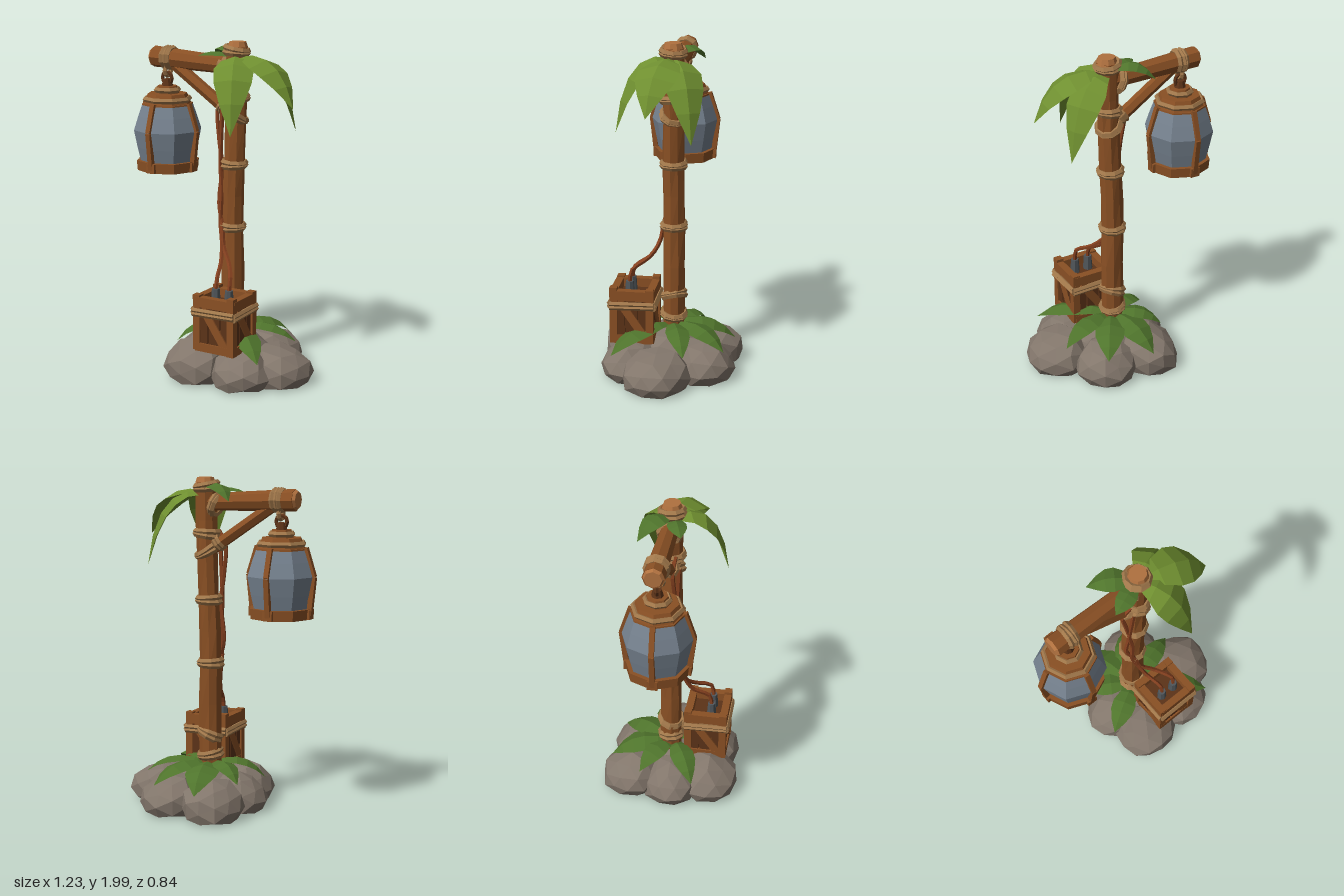
import * as THREE from 'three';

const V = (x, y, z) => new THREE.Vector3(x, y, z);
const paint = (color, double) => new THREE.MeshStandardMaterial({
  color, flatShading: true, side: double ? THREE.DoubleSide : THREE.FrontSide });
const MAT = {
  wood: paint(0x8a5024), darkWood: paint(0x5c3318), cutWood: paint(0xb0713f), rope: paint(0xa0774a),
  rock: paint(0x82766b), leaf: paint(0x6f8f30, true), darkLeaf: paint(0x4f742c, true),
  glass: paint(0x76828f), wire: paint(0x84401f), metal: paint(0x50565a),
};

// Repeatable wobble from a position
const wobble = (x, y, z) => {
  const s = Math.sin(Math.round(x * 500) * 12.9898 + Math.round(y * 500) * 78.233 + Math.round(z * 500) * 37.719) * 43758.5453;
  return (s - Math.floor(s)) * 2 - 1;
};

function warp(geometry, rule) {
  const p = geometry.attributes.position, v = V();
  for (let i = 0; i < p.count; i++) {
    rule(v.fromBufferAttribute(p, i));
    p.setXYZ(i, v.x, v.y, v.z);
  }
  geometry.computeVertexNormals();
  return geometry;
}

export function createModel() {
  const model = new THREE.Group();
  const add = (name, geometry, mat, pos = V(), parent = model) => {
    const m = new THREE.Mesh(geometry, mat);
    m.name = name;
    m.position.copy(pos);
    parent.add(m);
    return m;
  };
  const group = (name, parent = model) => {
    const g = new THREE.Group();
    g.name = name;
    parent.add(g);
    return g;
  };
  const box = (name, w, h, d, x, y, z, mat, parent) => add(name, new THREE.BoxGeometry(w, h, d), mat, V(x, y, z), parent);
  const UP = V(0, 1, 0);
  // Round or square timber between two points
  const bar = (name, a, b, r0, r1, sides, mat, parent) => {
    const geo = new THREE.CylinderGeometry(r1, r0, a.distanceTo(b), sides, 1);
    const m = add(name, geo, mat, a.clone().add(b).multiplyScalar(0.5), parent);
    m.quaternion.setFromUnitVectors(UP, b.clone().sub(a).normalize());
    return m;
  };
  // Chunky rope binding of overlapping loops around an axis
  const wrap = (name, pos, r, axis = UP, turns = 2, tube = 0.019) => {
    const g = group(name);
    for (let i = 0; i < turns; i++) {
      const t = add('ropeLoop', new THREE.TorusGeometry(r, tube, 5, 9), MAT.rope, V(0, 0, (i - (turns - 1) / 2) * tube * 1.1), g);
      t.rotation.y = i % 2 ? 0.08 : -0.05;
    }
    g.position.copy(pos);
    g.quaternion.setFromUnitVectors(V(0, 0, 1), axis.clone().normalize());
  };

  // Ring of boulders, lower on the outside: x, z, radius x, height, radius z
  const rocks = group('rocks');
  [[-0.07, -0.24, 0.185, 0.235, 0.19], [0.22, -0.22, 0.185, 0.23, 0.185], [0.42, 0.04, 0.195, 0.22, 0.2],
    [0.27, 0.22, 0.18, 0.23, 0.18], [-0.04, 0.25, 0.19, 0.245, 0.185], [-0.12, 0.01, 0.175, 0.24, 0.17],
    [0.1, 0, 0.24, 0.26, 0.23]].forEach(([x, z, rx, h, rz], i) => {
    const cy = h * 0.28, out = V(x - 0.1, 0, z);
    if (out.length() > 0.01) out.normalize();
    const geo = warp(new THREE.IcosahedronGeometry(1, 1), (v) => {
      const k = 1 + 0.07 * wobble(v.x + i, v.y, v.z);
      const slope = 1 - 0.2 * (v.x * out.x + v.z * out.z);
      v.set(v.x * rx * k, Math.max(-cy, v.y * (h - cy) * k * slope), v.z * rz * k);
    });
    add('rock', geo, MAT.rock, V(x, cy, z), rocks);
  });

  // Slightly crooked trunk
  const axisX = (y) => 0.056 + 0.008 * y * y + 0.004 * Math.sin(y * 5);
  add('post', warp(new THREE.CylinderGeometry(0.063, 0.068, 1.76, 9, 8), (v) => {
    const y = v.y + 1.08;
    const k = 1 + 0.07 * wobble(v.x, v.y, v.z);
    v.set(v.x * k + axisX(y), y, v.z * k - 0.012);
  }), MAT.wood);
  add('postTop', new THREE.CylinderGeometry(0.05, 0.063, 0.04, 9), MAT.cutWood, V(0.09, 1.97, -0.012));
  for (const [y, tilt] of [[1.935, 0.1], [1.66, -0.1], [1.56, 0.5], [1.27, 0], [0.89, 0], [0.45, -0.4], [0.33, 0.15]])
    wrap('postRope', V(axisX(y), y, -0.012), 0.067, V(tilt, 1, tilt * -0.6));

  // Beam with its brace
  bar('beam', V(-0.49, 1.87, -0.015), V(0.09, 1.845, -0.015), 0.064, 0.05, 8, MAT.wood);
  bar('beamEnd', V(-0.505, 1.87, -0.015), V(-0.485, 1.87, -0.015), 0.05, 0.063, 8, MAT.cutWood);
  bar('brace', V(-0.34, 1.83, -0.01), V(0.09, 1.54, -0.01), 0.037, 0.037, 6, MAT.wood);
  wrap('beamRope', V(-0.385, 1.868, -0.015), 0.058, V(1, 0, 0), 3, 0.018);
  wrap('jointRope', V(0.02, 1.83, -0.015), 0.06, V(1, 0.4, 0));
  wrap('braceRope', V(0, 1.61, -0.01), 0.04, V(-1, 0.7, 0), 2, 0.016);

  // Hanging lantern
  const lantern = group('lantern');
  lantern.position.set(-0.4, 0, -0.01);
  const disc = (name, y0, y1, r0, r1, mat) =>
    add(name, new THREE.CylinderGeometry(r1, r0, y1 - y0, 8), mat, V(0, (y0 + y1) / 2, 0), lantern);
  disc('lanternBase', 1.19, 1.25, 0.187, 0.192, MAT.wood);
  const profile = [[0.165, 1.24], [0.186, 1.33], [0.207, 1.435], [0.18, 1.52], [0.155, 1.59]];
  add('glass', new THREE.LatheGeometry(profile.map(([r, y]) => new THREE.Vector2(r, y)), 8), MAT.glass, V(), lantern);
  disc('lanternRim', 1.55, 1.595, 0.162, 0.155, MAT.wood);
  disc('lanternCap', 1.595, 1.655, 0.145, 0.12, MAT.wood);
  disc('lanternNeck', 1.65, 1.7, 0.075, 0.06, MAT.wood);
  disc('lanternSpindle', 1.7, 1.74, 0.035, 0.025, MAT.darkWood);
  for (const [y, r, t] of [[1.62, 0.134, 0.018], [1.675, 0.066, 0.018]])
    add('lanternRope', new THREE.TorusGeometry(r, t, 5, 8), MAT.rope, V(0, y, 0), lantern).rotation.x = Math.PI / 2;
  for (let i = 0; i < 4; i++) {
    const g = group('lanternStrut', lantern);
    g.rotation.y = i * Math.PI / 2;
    const pts = [V(0.178, 1.21, 0), V(0.203, 1.435, 0), V(0.15, 1.6, 0)];
    for (let j = 0; j < 2; j++)
      bar('strut', pts[j], pts[j + 1], 0.021, 0.021, 4, MAT.wood, g).rotateY(Math.PI / 4);
    box('strutFoot', 0.03, 0.055, 0.06, 0.178, 1.22, 0, MAT.wood, g);
  }
  add('hangingRing', new THREE.TorusGeometry(0.035, 0.012, 5, 10), MAT.darkWood, V(0, 1.745, 0), lantern);
  add('hook', new THREE.TorusGeometry(0.032, 0.014, 5, 10), MAT.rope, V(0.005, 1.79, 0), lantern).rotation.y = Math.PI / 2;

  // Open crate with battens
  const crate = group('crate');
  crate.position.set(0.14, 0, 0.21);
  box('crateBody', 0.225, 0.27, 0.215, 0, 0.345, 0, MAT.darkWood, crate);
  for (let i = 0; i < 4; i++) {
    const side = group('crateSide', crate);
    side.rotation.y = i * Math.PI / 2;
    const d = i % 2 ? 0.125 : 0.118, w = i % 2 ? 0.235 : 0.25;
    box('bottomRail', w, 0.05, 0.025, 0, 0.23, d, MAT.wood, side);
    box('topRail', w, 0.06, 0.045, 0, 0.505, d - 0.008, MAT.wood, side);
    for (let j = -1; j <= 1; j++) box('plank', w / 3 - 0.008, 0.25, 0.02, j * w / 3, 0.36, d - 0.008, MAT.darkWood, side);
    box('diagonal', 0.05, 0.27, 0.02, 0, 0.36, d + 0.001, MAT.wood, side).rotation.z = 0.6;
    box('cornerPost', 0.045, 0.35 - (i % 2) * 0.015, 0.045, i % 2 ? 0.107 : 0.115, 0.378, d - 0.008, MAT.wood, side);
    for (const k of [0, 1])
      bar('crateRope', V(-w / 2 - 0.015, 0.43 + k * 0.022, d + 0.014), V(w / 2 + 0.015, 0.438 + k * 0.02, d + 0.014), 0.016, 0.016, 5, MAT.rope, side);
  }
  for (const x of [-0.045, 0.045])
    add('terminal', new THREE.CylinderGeometry(0.024, 0.03, 0.09, 7), MAT.metal, V(x, 0.525, 0.025), crate);

  // Wires from the crate up the post
  const tube = (pts) => add('wire', new THREE.TubeGeometry(
    new THREE.CatmullRomCurve3(pts.map((p) => V(...p))), 30, 0.013, 5), MAT.wire);
  tube([[0.185, 0.56, 0.235], [0.185, 0.64, 0.22], [0.12, 0.7, 0.13], [0.05, 0.78, 0.075], [0.03, 0.89, 0.055],
    [-0.015, 1.03, 0.02], [0.005, 1.25, 0.02], [-0.015, 1.42, 0.02], [-0.03, 1.6, 0.01], [0.02, 1.68, 0.02]]);
  tube([[0.095, 0.56, 0.235], [0.095, 0.63, 0.22], [0.06, 0.7, 0.12], [0.035, 0.8, 0.07], [0.01, 0.92, 0.045],
    [0.015, 1.1, 0.04], [0.0, 1.27, 0.03], [0.01, 1.45, 0.035], [0.02, 1.6, 0.04]]);

  // Folded leaf swept along an arc from base through a bend to its tip
  const widths = [0.25, 0.7, 1, 0.95, 0.6, 0];
  const leaf = (name, base, bend, tip, width, mat) => {
    const curve = new THREE.QuadraticBezierCurve3(base, bend, tip);
    const out = tip.clone().sub(base).setY(0).normalize();
    const side = V(-out.z, 0, out.x), pos = [], idx = [], n = widths.length;
    widths.forEach((w, i) => {
      const p = curve.getPoint(i / (n - 1)), t = curve.getTangent(i / (n - 1));
      const normal = t.clone().cross(side).normalize();
      if (normal.y < 0) normal.negate();
      for (const s of [-1, 0, 1]) {
        const q = p.clone().addScaledVector(side, s * w * width / 2).addScaledVector(normal, s ? -w * width * 0.17 : 0);
        pos.push(q.x, q.y, q.z);
      }
      if (i) for (const k of [0, 1]) {
        const a = (i - 1) * 3 + k, b = i * 3 + k;
        idx.push(a, a + 1, b, b, a + 1, b + 1);
      }
    });
    const geo = new THREE.BufferGeometry();
    geo.setAttribute('position', new THREE.Float32BufferAttribute(pos, 3));
    geo.setIndex(idx);
    geo.computeVertexNormals();
    add(name, geo, mat);
  };
  // Crown: tip, bend height, bend reach, width
  for (const [x, y, z, by, reach, w, mat] of [
    [0.51, 1.64, 0.08, 1.99, 0.75, 0.25, MAT.leaf], [0.4, 1.47, -0.16, 1.97, 0.85, 0.23, MAT.leaf],
    [0.23, 1.49, 0.3, 2.0, 0.85, 0.23, MAT.leaf],
    [-0.14, 1.86, -0.17, 2.04, 0.6, 0.14, MAT.darkLeaf], [-0.13, 1.9, 0.07, 1.96, 0.6, 0.11, MAT.darkLeaf]])
    leaf('crownLeaf', V(0.09, 1.9, -0.01), V(0.09 + (x - 0.09) * reach, by, z * reach), V(x, y, z), w, mat);
  // Leaves at the foot
  for (const [x, y, z, w] of [[-0.23, 0.17, 0.16, 0.15], [-0.02, 0.16, -0.38, 0.2], [0.27, 0.18, -0.34, 0.18],
    [0.42, 0.18, 0.31, 0.17], [0.44, 0.2, -0.12, 0.14], [-0.2, 0.2, -0.17, 0.14]])
    leaf('footLeaf', V(0.06, 0.27, 0), V(0.06 + (x - 0.06) * 0.65, 0.37, z * 0.65), V(x, y, z), w, MAT.darkLeaf);

  return model;
}
